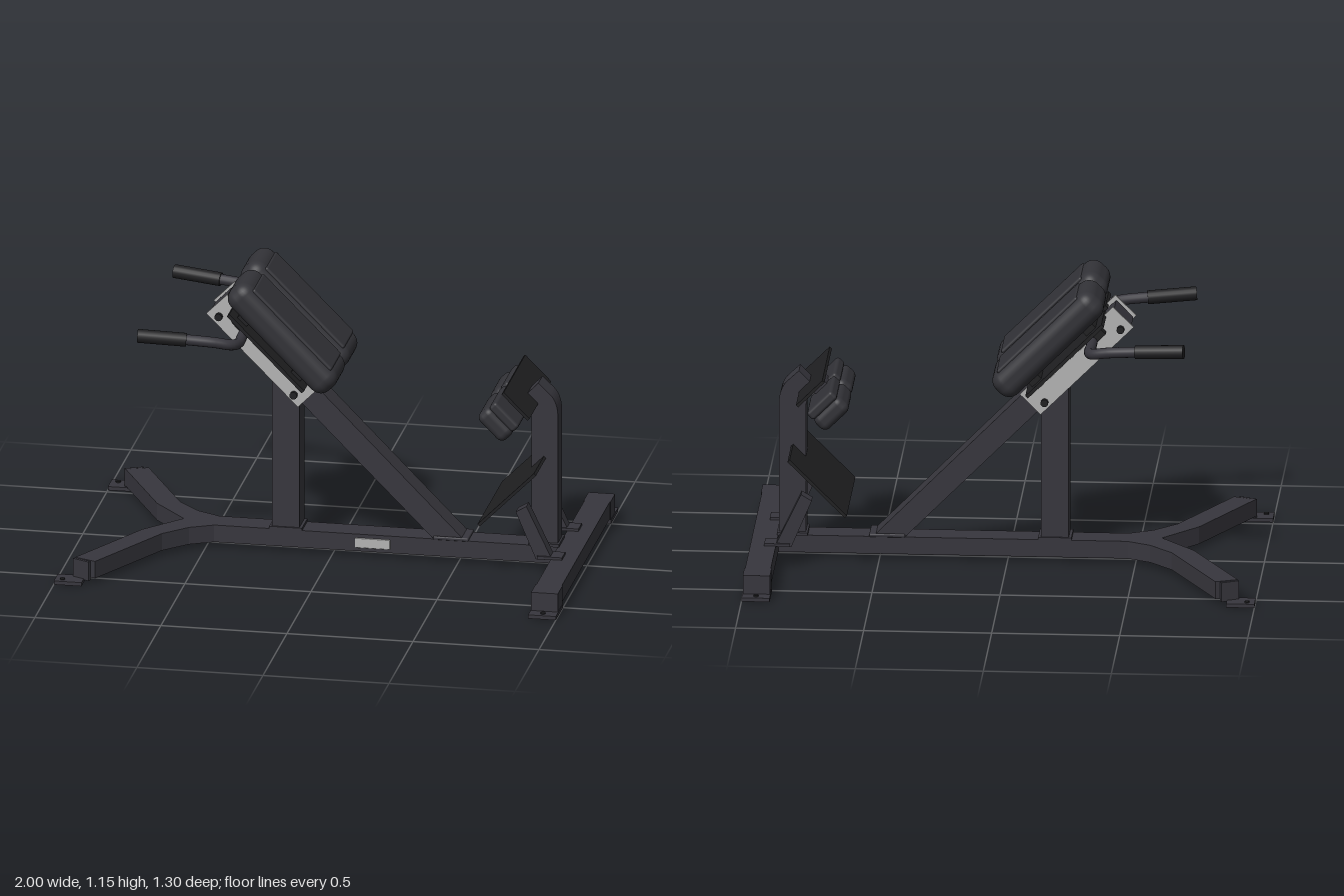
import * as THREE from 'three';
import { RoundedBoxGeometry } from 'three/addons/geometries/RoundedBoxGeometry.js';

const mat = (name, color) => {
  const m = new THREE.MeshStandardMaterial({ color });
  m.name = name;
  return m;
};

export function createModel() {
  const model = new THREE.Group();
  model.name = 'hyperextensionBench';
  const frame = mat('frame charcoal', 0x37363d);
  const vinyl = mat('pad vinyl', 0x333338);
  const black = mat('black rubber', 0x202022);
  const steel = mat('brushed steel', 0xb4b4b4);

  const add = (parent, name, geo, material, x = 0, y = 0, z = 0) => {
    const m = new THREE.Mesh(geo, material);
    m.name = name;
    m.position.set(x, y, z);
    parent.add(m);
    return m;
  };
  const box = (parent, name, w, h, d, material, x, y, z) =>
    add(parent, name, new THREE.BoxGeometry(w, h, d), material, x, y, z);
  const cushion = (parent, name, w, h, d, r, material, x, y, z) =>
    add(parent, name, new RoundedBoxGeometry(w, h, d, 4, r), material, x, y, z);
  const tilted = (name, x, y) => { // local x runs down to the right, local y up to the right
    const g = new THREE.Group();
    g.name = name;
    g.position.set(x, y, 0);
    g.rotation.z = -Math.PI / 4;
    model.add(g);
    return g;
  };
  // side profile extruded across z, centred
  const sideProfile = (shape, depth) =>
    new THREE.ExtrudeGeometry(shape, { depth, bevelEnabled: false, curveSegments: 10 }).translate(0, 0, -depth / 2);
  const poly = pts => new THREE.Shape(pts.map(p => new THREE.Vector2(...p)));

  // base beam and rear cross bar
  box(model, 'baseBeam', 1.42, 0.07, 0.108, frame, 0.19, 0.055, 0);
  box(model, 'crossBar', 0.1, 0.07, 1.18, frame, 0.945, 0.055, 0);
  cushion(model, 'namePlate', 0.14, 0.04, 0.008, 0.003, steel, 0.16, 0.055, 0.056);

  for (const s of [1, -1]) {
    // splayed front leg, drawn in plan
    const leg = poly([[-0.47, 0], [-0.47, 0.055], [-0.56, 0.1], [-0.65, 0.19], [-0.845, 0.56],
      [-0.93, 0.525], [-0.735, 0.155], [-0.6, 0]].map(([x, z]) => [x, -z * s]));
    const legGeo = new THREE.ExtrudeGeometry(leg, { depth: 0.07, bevelEnabled: false }).rotateX(-Math.PI / 2);
    add(model, 'splayedLeg', legGeo, frame, 0, 0.02, 0);
    box(model, 'legFoot', 0.11, 0.015, 0.085, frame, -0.945, 0.0075, s * 0.563);
    const tab = box(model, 'legFootTab', 0.075, 0.078, 0.012, frame, -0.9, 0.05, s * 0.548);
    tab.rotation.y = -s * 0.45;

    // cross bar ends
    box(model, 'crossBarCap', 0.106, 0.076, 0.1, frame, 0.945, 0.052, s * 0.547);
    box(model, 'crossBarFoot', 0.11, 0.015, 0.15, frame, 0.945, 0.0075, s * 0.575);
    for (const [x, z] of [[-0.97, 0.58], [0.945, 0.625]])
      add(model, 'footBolt', new THREE.CylinderGeometry(0.01, 0.01, 0.006, 12), black, x, 0.017, s * z);

    // foot plate struts
    const strut = poly([[0.755, 0.275], [0.797, 0.3], [0.9, 0.085], [0.835, 0.085]]);
    add(model, 'footPlateStrut', sideProfile(strut, 0.054), frame, 0, 0, s * 0.172);
    box(model, 'strutFlange', 0.1, 0.012, 0.07, frame, 0.89, 0.094, s * 0.172);
  }

  // uprights and diagonal brace
  box(model, 'mainPost', 0.108, 0.66, 0.104, frame, -0.185, 0.4, 0);
  box(model, 'mainPostFlange', 0.13, 0.012, 0.118, frame, -0.185, 0.095, 0);
  const brace = poly([[0.405, 0.085], [0.53, 0.085], [-0.075, 0.70], [-0.14, 0.635]]);
  add(model, 'diagonalBrace', sideProfile(brace, 0.104), frame);
  cushion(model, 'braceFlange', 0.14, 0.014, 0.118, 0.005, frame, 0.47, 0.095, 0);

  // rear post with its bent top
  const bent = new THREE.Shape();
  bent.moveTo(0.788, 0.085);
  bent.lineTo(0.893, 0.085);
  bent.lineTo(0.893, 0.62);
  bent.quadraticCurveTo(0.893, 0.685, 0.858, 0.717);
  bent.lineTo(0.815, 0.757);
  bent.lineTo(0.745, 0.685);
  bent.quadraticCurveTo(0.788, 0.65, 0.788, 0.61);
  add(model, 'rearPost', sideProfile(bent, 0.088), frame);
  box(model, 'rearPostFlange', 0.12, 0.012, 0.12, frame, 0.84, 0.095, 0);

  // angled foot plate
  const footPlate = box(model, 'footPlate', 0.316, 0.012, 0.51, black, 0.73, 0.342, 0);
  footPlate.rotation.z = Math.PI / 4;

  // calf pads and backing plate
  const calf = tilted('calfSupport', 0.69, 0.65);
  box(calf, 'calfBackPlate', 0.145, 0.012, 0.45, black, 0, 0.098, 0);
  box(calf, 'calfBracket', 0.06, 0.06, 0.1, frame, 0, 0.068, 0);
  for (const s of [1, -1]) {
    cushion(calf, 'calfPad', 0.145, 0.075, 0.225, 0.028, vinyl, 0, -0.018, s * 0.123);
    cushion(calf, 'calfPadBase', 0.135, 0.04, 0.22, 0.012, vinyl, 0, 0.033, s * 0.123);
  }

  // thigh pads on the adjustable carriage
  const seat = tilted('thighSupport', -0.168, 0.936);
  box(seat, 'carriageTube', 0.5, 0.095, 0.106, frame, 0, -0.15, 0);
  for (const s of [1, -1]) {
    cushion(seat, 'thighPad', 0.55, 0.122, 0.245, 0.05, vinyl, 0, 0, s * 0.132);
    cushion(seat, 'thighPadPanel', 0.44, 0.02, 0.195, 0.009, vinyl, 0, 0.056, s * 0.132);
    box(seat, 'padBackPlate', 0.42, 0.014, 0.19, black, 0, -0.093, s * 0.125);
    for (const u of [-0.15, 0.15]) box(seat, 'padSpacer', 0.05, 0.03, 0.12, black, u, -0.073, s * 0.12);

    // side plate with stepped adjustment edge
    const edge = [[-0.257, -0.205], [0.257, -0.205], [0.257, -0.09], [0.2, -0.09], [0.19, -0.125]];
    for (let i = 0; i < 4; i++) {
      const u = 0.13 - i * 0.055;
      edge.push([u + 0.028, -0.125], [u + 0.022, -0.108], [u, -0.108], [u - 0.006, -0.125]);
    }
    edge.push([-0.1, -0.125], [-0.12, -0.09], [-0.257, -0.09]);
    add(seat, 'sidePlate', sideProfile(poly(edge), 0.01), steel, 0, 0, s * 0.078);
    box(seat, 'adjusterRail', 0.3, 0.035, 0.016, black, 0.05, -0.118, s * 0.064);
    box(seat, 'handleMount', 0.085, 0.05, 0.05, black, -0.125, -0.118, s * 0.095);
    for (const [u, v] of [[0.21, -0.18], [-0.215, -0.175]]) {
      const bolt = add(seat, 'plateBolt', new THREE.CylinderGeometry(0.015, 0.015, 0.02, 16), black, u, v, s * 0.09);
      bolt.rotation.x = Math.PI / 2;
    }

    // handle bar and grip
    const v = (x, y, z) => new THREE.Vector3(x, y, z * s);
    const path = new THREE.CatmullRomCurve3([v(-0.335, 0.92, 0.08), v(-0.335, 0.92, 0.17), v(-0.333, 0.922, 0.26),
      v(-0.35, 0.933, 0.318), v(-0.41, 0.948, 0.345), v(-0.54, 0.96, 0.363)]);
    add(model, 'handleBar', new THREE.TubeGeometry(path, 40, 0.021, 14), frame);
    const a = v(-0.52, 0.958, 0.361), b = v(-0.71, 0.971, 0.386);
    const grip = add(model, 'handGrip', new THREE.CylinderGeometry(0.027, 0.027, a.distanceTo(b), 18), black);
    grip.position.copy(a).lerp(b, 0.5);
    grip.quaternion.setFromUnitVectors(new THREE.Vector3(0, 1, 0), b.clone().sub(a).normalize());
  }
  return model;
}
